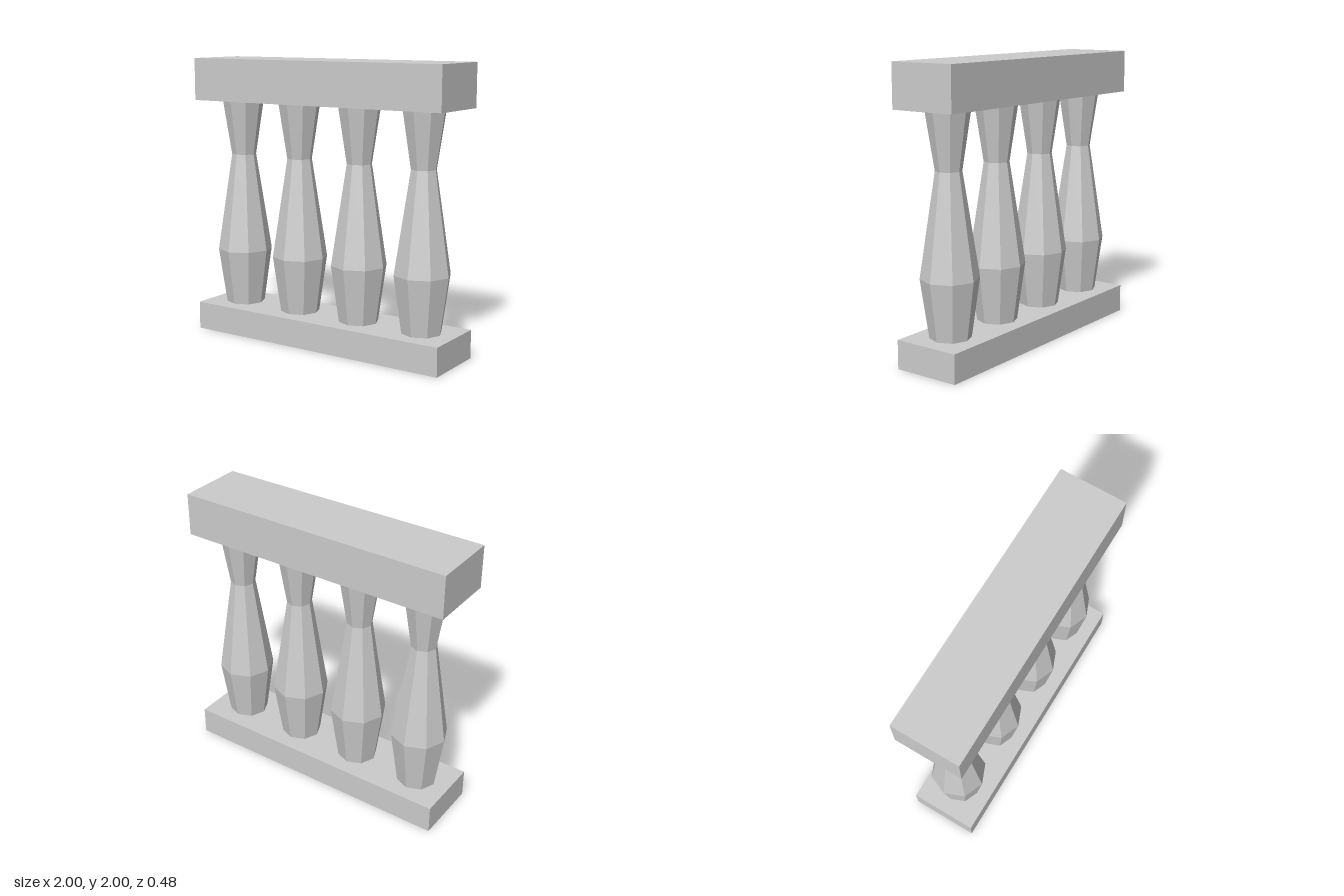
import * as THREE from 'three';

export function createModel() {
  const group = new THREE.Group();
  group.name = 'balustrade';
  const stone = new THREE.MeshStandardMaterial({ color: 0xcccccc, flatShading: true });

  function add(name, geometry, x, y) {
    const mesh = new THREE.Mesh(geometry, stone);
    mesh.name = name;
    mesh.position.set(x, y, 0);
    group.add(mesh);
  }

  // Base and handrail
  add('baseRail', new THREE.BoxGeometry(2, 0.2, 0.48), 0, 0.1);
  add('topRail', new THREE.BoxGeometry(2, 0.3, 0.48), 0, 1.85);

  // Eight-sided balusters: radius and height from foot to head
  const profile = [[0.14, 0.2], [0.197, 0.6], [0.088, 1.305], [0.149, 1.7]]
    .map(([r, y]) => new THREE.Vector2(r, y));
  const balusterGeometry = new THREE.LatheGeometry(profile, 8);
  [-0.75, -0.25, 0.25, 0.75].forEach((x, i) => add(`baluster${i + 1}`, balusterGeometry, x, 0));

  return group;
}
